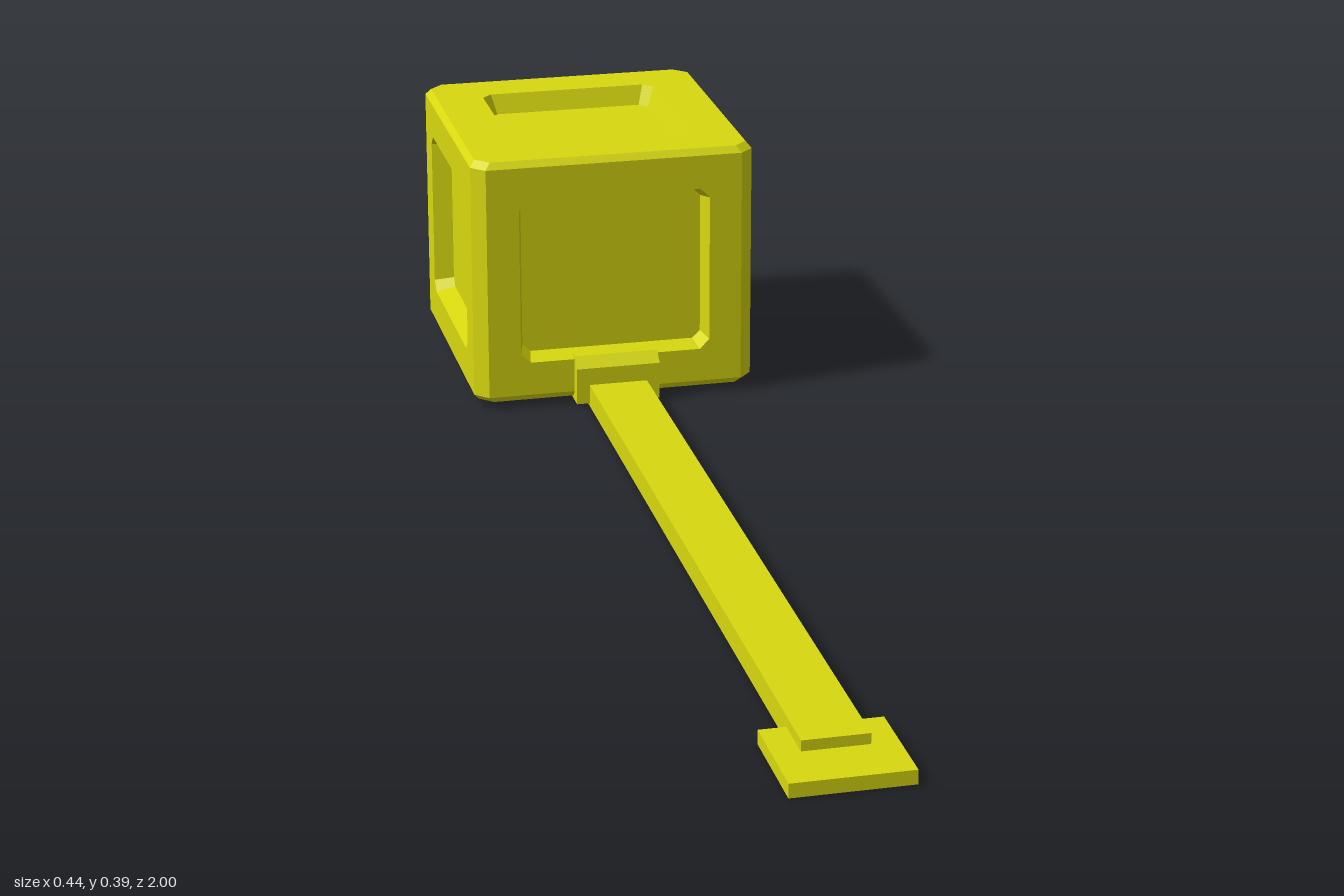
import * as THREE from 'three';

const HW = 0.218, HY = 0.1925;        // cube half width and half height
const CUBE_Y = 0.2025, CUBE_Z = -0.56;
const CUT = 0.02, BEVEL = 0.01, DEPTH = 0.03;

// Counter-clockwise rectangle with cut corners at height n, placed by map(u, v, n)
function loop(map, hw, hh, c, n) {
  return [[hw, c - hh], [hw, hh - c], [hw - c, hh], [c - hw, hh],
    [-hw, hh - c], [-hw, c - hh], [c - hw, -hh], [hw - c, -hh]].map(([u, v]) => map(u, v, n));
}

// Hollow-panelled cube with bevelled edges
function cubeGeometry() {
  const points = [];
  const tri = (a, b, c) => {
    const area = b.clone().sub(a).cross(c.clone().sub(a)).length();
    if (area > 1e-9) for (const p of [a, b, c]) points.push(p.x, p.y, p.z);
  };
  const band = (a, b, start = 0, step = 1) => {
    for (let i = start; i < 8; i += step) {
      const j = (i + 1) % 8;
      tri(a[i], a[j], b[j]);
      tri(a[i], b[j], b[i]);
    }
  };
  // Flat rim, sloped recess wall and recess floor
  const panel = (map, rim, hw, hh, n, taper) => {
    const opening = loop(map, hw, hh, 0.015, n);
    const floor = loop(map, hw - taper, hh - taper, 0.012, n - DEPTH);
    band(rim, opening);
    band(opening, floor);
    for (let i = 1; i < 7; i++) tri(floor[0], floor[i], floor[i + 1]);
  };

  // Four sides
  for (let k = 0; k < 4; k++) {
    const axis = new THREE.Vector3(0, 1, 0);
    const map = (u, v, n) => new THREE.Vector3(u, v, n).applyAxisAngle(axis, k * Math.PI / 2);
    panel(map, loop(map, HW - CUT, HY - BEVEL, 0, HW), 0.148, 0.13, HW, 0.008);
  }
  // Top and bottom with their bevels
  const up = (u, v, n) => new THREE.Vector3(u, n, -v);
  const down = (u, v, n) => new THREE.Vector3(u, -n, v);
  for (const map of [up, down]) {
    const rim = loop(map, HW - 0.008, HW - 0.008, CUT, HY);
    band(loop(map, HW, HW, CUT, HY - BEVEL), rim);
    panel(map, rim, 0.138, 0.138, HY, 0.011);
  }
  // Vertical corner bevels
  band(loop(up, HW, HW, CUT, BEVEL - HY), loop(up, HW, HW, CUT, HY - BEVEL), 1, 2);

  const geometry = new THREE.BufferGeometry();
  geometry.setAttribute('position', new THREE.Float32BufferAttribute(points, 3));
  geometry.computeVertexNormals();
  return geometry;
}

export function createModel() {
  const group = new THREE.Group();
  const yellow = new THREE.MeshStandardMaterial({ color: 0xd8d80f });
  yellow.name = 'yellow';

  const add = (name, geometry, x = 0, y = 0, z = 0) => {
    const mesh = new THREE.Mesh(geometry, yellow);
    mesh.name = name;
    mesh.position.set(x, y, z);
    group.add(mesh);
    return mesh;
  };

  add('cube', cubeGeometry(), 0, CUBE_Y, CUBE_Z);

  // Long flat bar running under the cube
  add('bar', new THREE.BoxGeometry(0.09, 0.035, 1.85), 0, 0.0175, -0.005);

  // Foot plates at both ends of the bar
  for (const s of [1, -1]) {
    add(s > 0 ? 'frontPlate' : 'backPlate', new THREE.BoxGeometry(0.164, 0.02, 0.15), 0, 0.01, s * 0.925);
  }

  // Clamps with sloped tops, gripping the lower rim of the cube
  const profile = new THREE.Shape([[-0.02, 0.005], [0.02, 0.005], [0.02, 0.062], [0.004, 0.078], [-0.02, 0.078]]
    .map(([a, b]) => new THREE.Vector2(a, b)));
  for (const s of [1, -1]) {
    const clamp = new THREE.ExtrudeGeometry(profile, { depth: 0.13, bevelEnabled: false });
    clamp.translate(0, 0, -0.065);
    clamp.rotateY(-s * Math.PI / 2);
    add(s > 0 ? 'frontClamp' : 'backClamp', clamp, 0, 0, CUBE_Z + s * (HW - 0.002));
  }
  return group;
}
